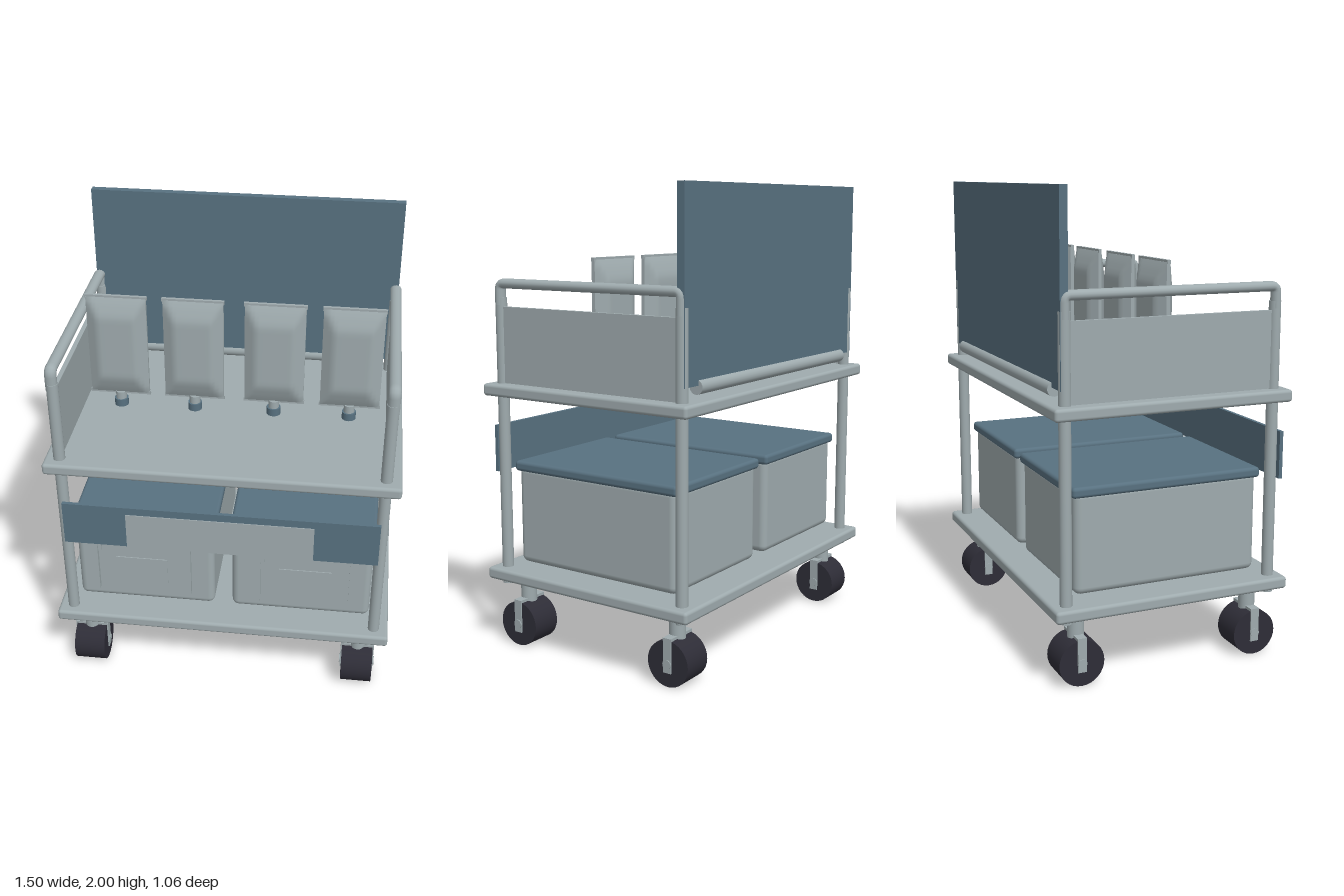
import * as THREE from 'three';
import { RoundedBoxGeometry } from 'three/addons/geometries/RoundedBoxGeometry.js';

export function createModel() {
  const root = new THREE.Group();
  root.name = 'supplyTrolley';

  const mat = (name, color) => {
    const m = new THREE.MeshStandardMaterial({ color });
    m.name = name;
    return m;
  };
  const grey = mat('pale grey', 0x9fabae);
  const blue = mat('slate blue', 0x587180);
  const dark = mat('dark rubber', 0x2e2d37);

  const add = (parent, name, geo, material, x = 0, y = 0, z = 0) => {
    const mesh = new THREE.Mesh(geo, material);
    mesh.name = name;
    mesh.position.set(x, y, z);
    parent.add(mesh);
    return mesh;
  };
  const group = (name, x = 0, y = 0, z = 0) => {
    const g = new THREE.Group();
    g.name = name;
    g.position.set(x, y, z);
    root.add(g);
    return g;
  };
  const box = (w, h, d) => new THREE.BoxGeometry(w, h, d);
  const soft = (w, h, d, r) => new RoundedBoxGeometry(w, h, d, 3, r);
  const rod = (r, h, sides = 20) => new THREE.CylinderGeometry(r, r, h, sides);

  // Shelves
  add(root, 'lowerShelf', soft(1.5, 0.052, 1.05, 0.014), grey, 0, 0.328, -0.003);
  add(root, 'upperShelf', soft(1.5, 0.052, 1.05, 0.014), grey, 0, 1.14, -0.003);

  // Handrail path: up from the front post, across, and down to the back post
  const railPath = new THREE.CurvePath();
  const v = (y, z) => new THREE.Vector3(0, y, z);
  railPath.add(new THREE.LineCurve3(v(1.5, 0.462), v(1.565, 0.462)));
  railPath.add(new THREE.QuadraticBezierCurve3(v(1.565, 0.462), v(1.59, 0.462), v(1.59, 0.437)));
  railPath.add(new THREE.LineCurve3(v(1.59, 0.437), v(1.59, -0.441)));
  railPath.add(new THREE.QuadraticBezierCurve3(v(1.59, -0.441), v(1.59, -0.466), v(1.565, -0.466)));
  railPath.add(new THREE.LineCurve3(v(1.565, -0.466), v(1.5, -0.466)));
  const railGeo = new THREE.TubeGeometry(railPath, 120, 0.021, 14);
  railGeo.scale(1.2, 1, 1);

  // Posts, rails and side panels
  for (const s of [1, -1]) {
    const side = s > 0 ? 'left' : 'right';
    for (const [end, z] of [['Front', 0.461], ['Back', -0.465]]) {
      add(root, side + end + 'Post', rod(0.025, 1.25), grey, s * 0.685, 0.905, z);
    }
    add(root, side + 'Handrail', railGeo, grey, s * 0.687, 0, 0);
    add(root, side + 'Panel', box(0.02, 0.325, 0.89), grey, s * 0.687, 1.33, -0.002);
  }

  // Back board and the round bar that carries it
  add(root, 'backBoard', box(1.4, 0.775, 0.034), blue, 0, 1.6125, -0.47);
  const bar = add(root, 'boardBar', rod(0.03, 1.21), grey, 0, 1.218, -0.476);
  bar.rotation.z = Math.PI / 2;

  // Front sign with its pale centre plate
  add(root, 'frontSign', box(1.355, 0.205, 0.016), blue, 0, 0.872, 0.518);
  add(root, 'signPlate', box(0.805, 0.17, 0.004), grey, 0, 0.855, 0.528);

  // Pouch: flat slab swollen in the middle and pinched at all edges
  const pouchGeo = new THREE.BoxGeometry(0.262, 0.464, 0.02, 16, 24, 1);
  const p = pouchGeo.attributes.position;
  for (let i = 0; i < p.count; i++) {
    const rx = Math.min(1, (0.131 - Math.abs(p.getX(i))) / 0.05);
    const ry = Math.min(1, (0.232 - Math.abs(p.getY(i))) / 0.085);
    p.setZ(i, Math.sign(p.getZ(i)) * (0.008 + 0.033 * Math.min(rx, Math.pow(ry, 0.85))));
  }
  pouchGeo.computeVertexNormals();

  for (const x of [-0.512, -0.177, 0.177, 0.512]) {
    const pouch = group('pouch', x, 0, -0.005);
    add(pouch, 'pouchBody', pouchGeo, grey, 0, 1.465, 0);
    add(pouch, 'topSeal', box(0.27, 0.016, 0.014), grey, 0, 1.698, 0);
    add(pouch, 'bottomSeal', box(0.27, 0.016, 0.014), grey, 0, 1.233, 0);
    add(pouch, 'spout', rod(0.024, 0.045), grey, 0, 1.212, 0);
    add(pouch, 'spoutCap', rod(0.031, 0.036), blue, 0, 1.182, 0);
  }

  // Storage bins
  for (const s of [1, -1]) {
    const bin = group(s > 0 ? 'leftBin' : 'rightBin', s * 0.35, 0, 0);
    add(bin, 'binBody', soft(0.62, 0.43, 0.825, 0.03), grey, 0, 0.59, -0.002);
    add(bin, 'binLid', soft(0.64, 0.045, 0.85, 0.015), blue, 0, 0.805, -0.002);
    add(bin, 'gripSlot', box(0.212, 0.06, 0.009), dark, s * 0.018, 0.722, 0.413);
    add(bin, 'labelPlate', box(0.234, 0.134, 0.006), grey, s * 0.018, 0.547, 0.412);
    for (const x of [-0.21, 0.21]) {
      add(bin, 'frontRib', box(0.026, 0.295, 0.022), grey, x + s * 0.016, 0.583, 0.42);
    }
    add(bin, 'latchTab', box(0.016, 0.12, 0.012), grey, -0.189 + s * 0.016, 0.71, 0.414);
  }

  // Casters
  for (const x of [-0.622, 0.622]) {
    for (const z of [-0.4, 0.4]) {
      const caster = group('caster', x, 0, z);
      const wheel = add(caster, 'wheel', rod(0.098, 0.14, 32), dark, 0, 0.1, 0);
      wheel.rotation.z = Math.PI / 2;
      const axle = add(caster, 'axle', rod(0.02, 0.16, 12), grey, 0, 0.1, 0);
      axle.rotation.z = Math.PI / 2;
      add(caster, 'stem', rod(0.035, 0.12), grey, 0, 0.25, 0);
      add(caster, 'forkBridge', box(0.152, 0.012, 0.04), grey, 0, 0.203, 0);
      for (const s of [-1, 1]) {
        add(caster, 'forkArm', box(0.006, 0.145, 0.038), grey, s * 0.073, 0.135, 0);
      }
    }
  }
  return root;
}
